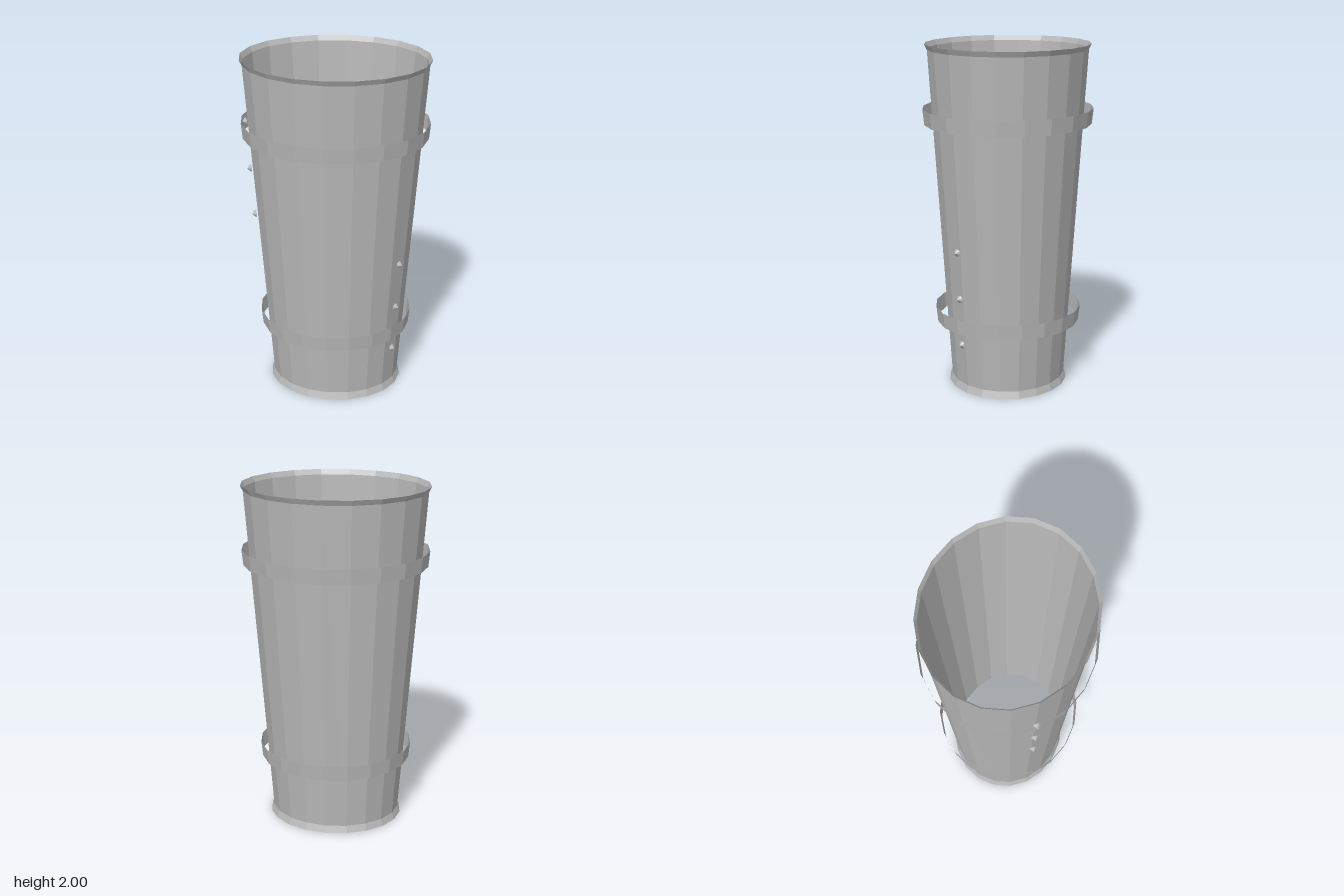
import * as THREE from 'three';

const SIDES = 20;

export function createModel() {
  const model = new THREE.Group();
  model.name = 'taperedCuff';

  const metal = new THREE.MeshStandardMaterial({ color: 0xb8b8b8, side: THREE.DoubleSide, flatShading: true });
  metal.name = 'greyMetal';

  function add(name, geometry) {
    const mesh = new THREE.Mesh(geometry, metal);
    mesh.name = name;
    model.add(mesh);
    return mesh;
  }

  // Open faceted shell through elliptical rings given as [y, x radius, z radius]
  function shell(rings) {
    const points = rings.map(([y]) => new THREE.Vector2(1, y));
    const geometry = new THREE.LatheGeometry(points, SIDES);
    const position = geometry.attributes.position;
    for (let i = 0; i < position.count; i++) {
      const [, rx, rz] = rings[i % rings.length];
      position.setX(i, position.getX(i) * rx);
      position.setZ(i, position.getZ(i) * rz);
    }
    geometry.computeVertexNormals();
    return geometry;
  }

  // Tapered tube with flared lips at both open ends
  add('body', shell([
    [0, 0.395, 0.35],
    [0.04, 0.38, 0.335],
    [1.97, 0.525, 0.46],
    [2, 0.54, 0.475],
  ]));

  // Loose bands standing off the tube
  add('lowerBand', shell([[0.37, 0.441, 0.42], [0.46, 0.45, 0.43]]));
  add('upperBand', shell([[1.545, 0.531, 0.482], [1.635, 0.54, 0.492]]));

  // Pointed studs: three high on one side, three low on the other
  const studGeometry = new THREE.ConeGeometry(0.022, 0.022, 8, 1, true);
  studGeometry.translate(0, 0.011, 0);
  const up = new THREE.Vector3(0, 1, 0);
  const studs = [
    [-0.458, 1.695, 0.269], [-0.44, 1.418, 0.26], [-0.422, 1.14, 0.251],
    [0.398, 0.865, 0.24], [0.381, 0.588, 0.231], [0.364, 0.31, 0.222],
  ];
  studs.forEach(([x, y, z], i) => {
    const stud = add(`stud${i + 1}`, studGeometry);
    stud.position.set(x, y, z);
    stud.quaternion.setFromUnitVectors(up, new THREE.Vector3(Math.sign(x) * 0.84, 0, 0.53).normalize());
  });

  return model;
}
